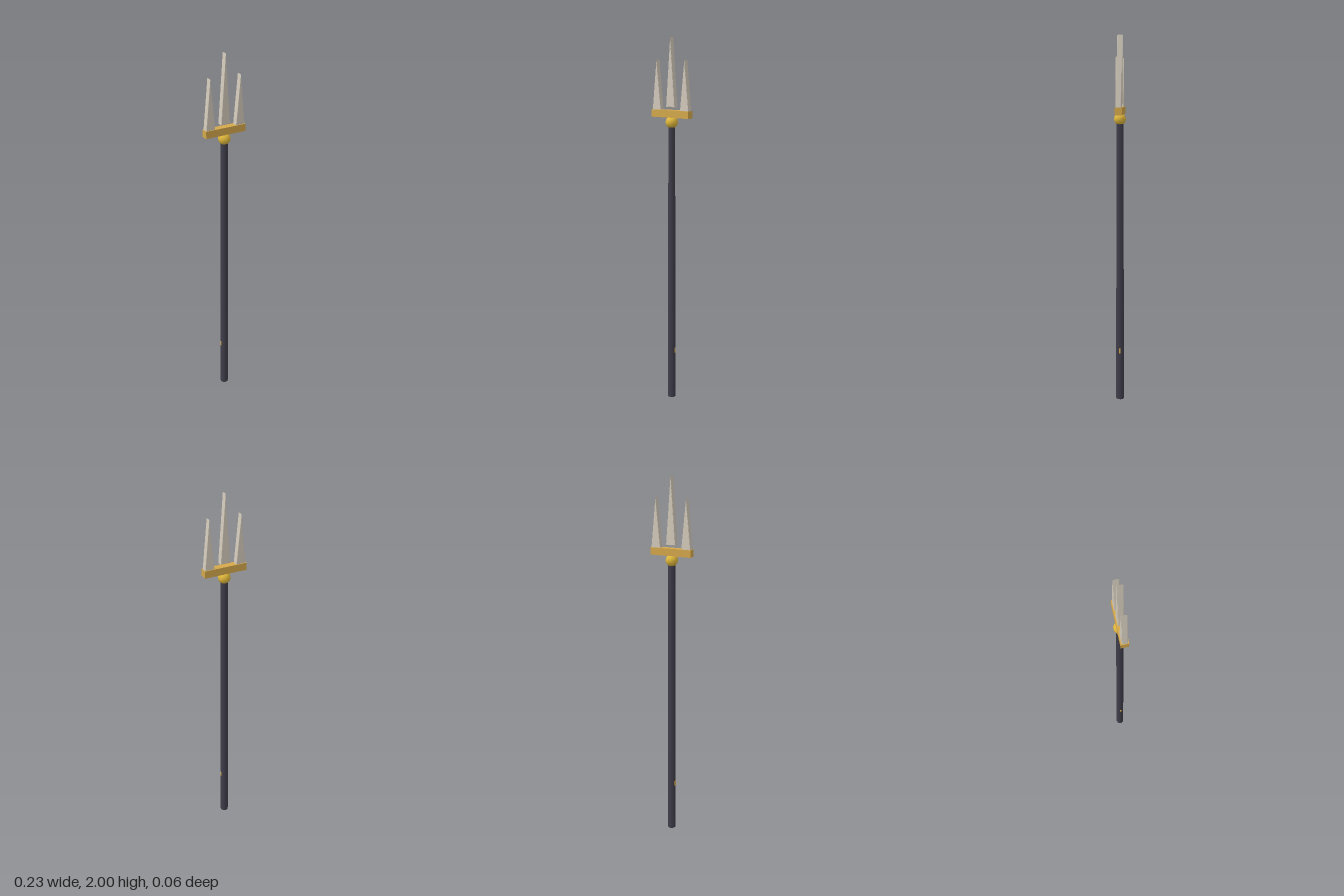
import * as THREE from 'three';

const material = (color) => new THREE.MeshStandardMaterial({ color });
const flat = (color) => {
  const m = material(color);
  m.flatShading = true;
  return m;
};

export function createModel() {
  const model = new THREE.Group();
  model.name = 'trident';
  const dark = material(0x3f3d4a);
  const brass = flat(0xd4a84b);
  const gold = material(0xe0b83c);
  const bone = flat(0xd3cabb);

  const add = (name, geometry, mat, x, y, z = 0) => {
    const mesh = new THREE.Mesh(geometry, mat);
    mesh.name = name;
    mesh.position.set(x, y, z);
    model.add(mesh);
    return mesh;
  };

  // Slightly tapered shaft, with a thin pin through its lower end
  add('shaft', new THREE.CylinderGeometry(0.0185, 0.0225, 1.57, 10), dark, 0, 0.785);
  add('pin', new THREE.BoxGeometry(0.047, 0.028, 0.01), brass, 0, 0.29);

  // Ball joint and crossbar
  add('ball', new THREE.SphereGeometry(0.0325, 10, 8), gold, 0, 1.573);
  add('crossbar', new THREE.BoxGeometry(0.227, 0.038, 0.039), brass, 0, 1.616);

  // Wedge-shaped tines: bevelled triangles, pointed across x and even in z
  const bevel = 0.0035;
  const tine = (name, x, bottom, top, halfWidth) => {
    const shape = new THREE.Shape();
    shape.moveTo(-halfWidth + bevel, bevel);
    shape.lineTo(halfWidth - bevel, bevel);
    shape.lineTo(0, top - bottom - bevel * Math.SQRT2);
    shape.closePath();
    const depth = 0.023;
    const geometry = new THREE.ExtrudeGeometry(shape, {
      depth, bevelEnabled: true, bevelSize: bevel, bevelThickness: bevel, bevelSegments: 2,
    });
    geometry.translate(0, 0, -depth / 2);
    add(name, geometry, bone, x, bottom);
  };
  tine('centreTine', 0, 1.65, 2.0, 0.0265);
  tine('leftTine', 0.085, 1.625, 1.888, 0.0265);
  tine('rightTine', -0.085, 1.625, 1.888, 0.0265);

  return model;
}
